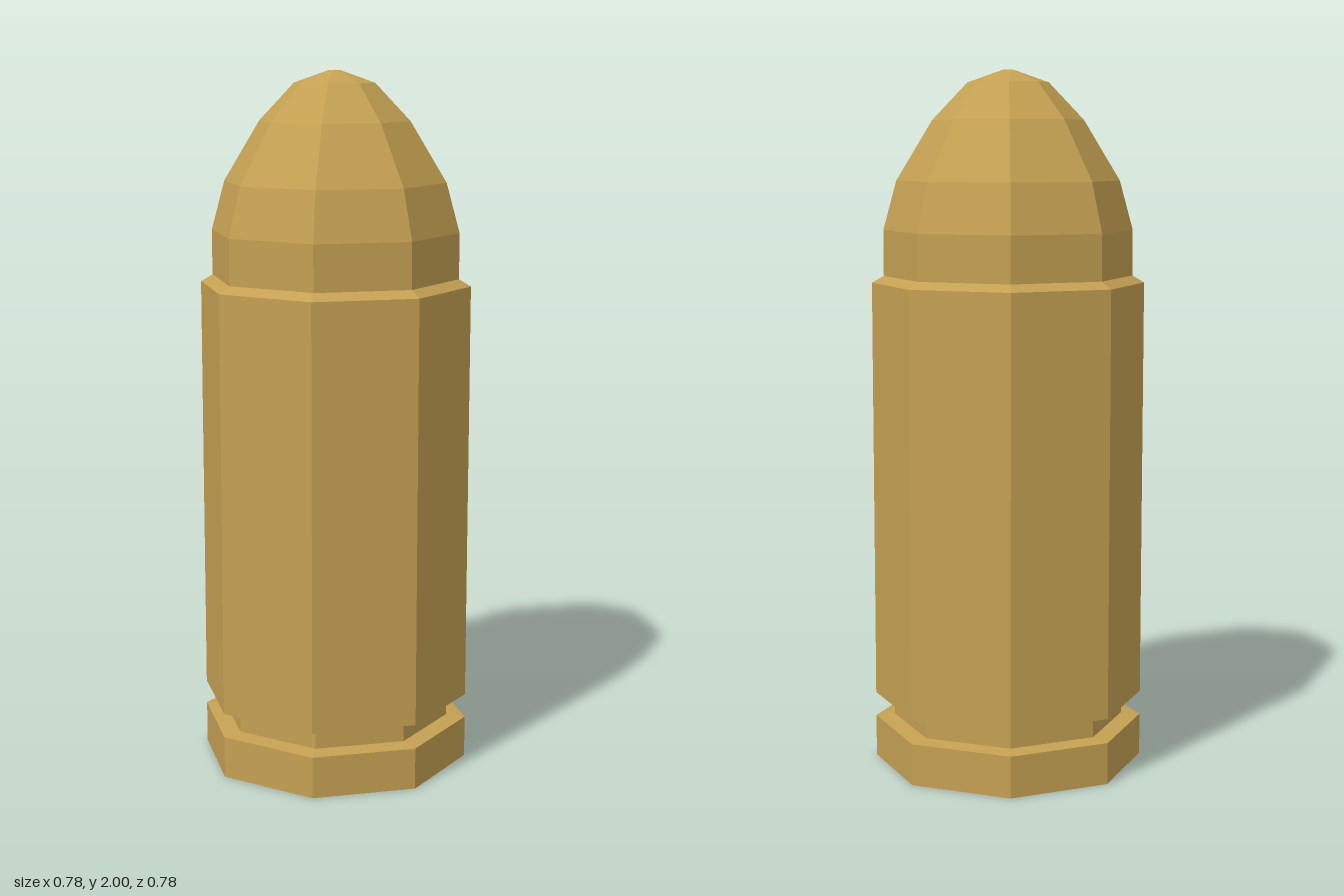
import * as THREE from 'three';

const SIDES = 8;

export function createModel() {
  const group = new THREE.Group();
  group.name = 'cartridge';

  const brass = new THREE.MeshStandardMaterial({ color: 0xc4a052, flatShading: true });
  brass.name = 'brass';

  // Each part is an eight-sided turned section, its profile listed from bottom to top
  const addTurned = (name, profile) => {
    const points = profile.map(([r, y]) => new THREE.Vector2(r, y));
    const mesh = new THREE.Mesh(new THREE.LatheGeometry(points, SIDES), brass);
    mesh.name = name;
    group.add(mesh);
  };

  // Base rim with closed underside
  addTurned('rim', [[0, 0], [0.39, 0], [0.39, 0.12], [0.335, 0.125]]);

  // Recessed groove above the rim
  addTurned('groove', [[0.335, 0.125], [0.335, 0.185]]);

  // Straight case with a chamfered mouth
  addTurned('case', [[0.335, 0.185], [0.39, 0.19], [0.39, 1.4], [0.356, 1.42]]);

  // Rounded nose with a tiny flat tip
  addTurned('nose', [
    [0.356, 1.42], [0.356, 1.55], [0.318, 1.69], [0.215, 1.86],
    [0.115, 1.965], [0.015, 2], [0, 2],
  ]);

  return group;
}
